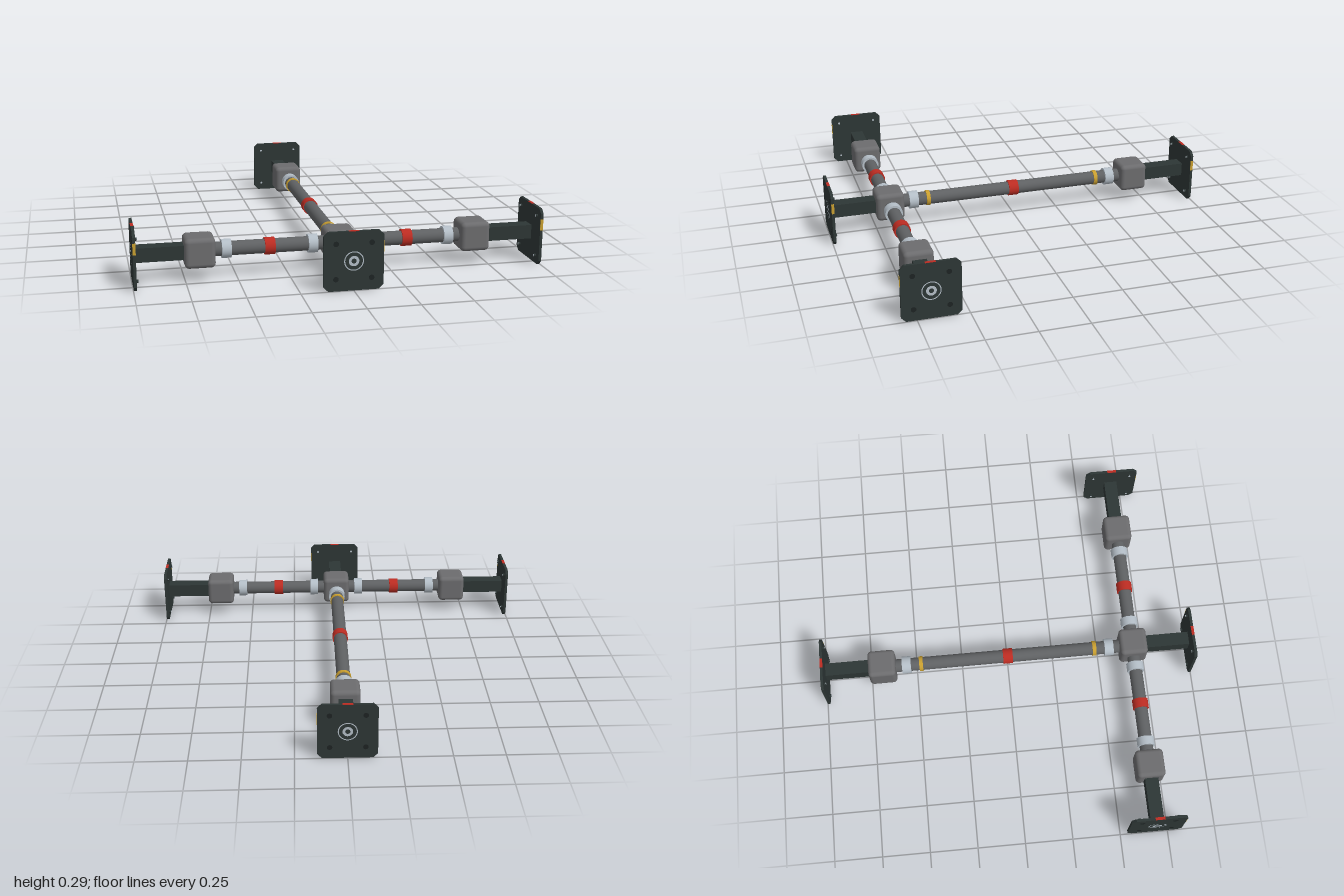
import * as THREE from 'three';
import { RoundedBoxGeometry } from 'three/addons/geometries/RoundedBoxGeometry.js';

const AXIS = 0.143; // height of the pipe centre line
const HUB_Z = 0.68; // where the cross arms meet the long pipe

const mat = (name, color) => {
  const m = new THREE.MeshStandardMaterial({ color });
  m.name = name;
  return m;
};

export function createModel() {
  const dark = mat('dark steel', 0x2d3635);
  const boltDark = mat('bolt black', 0x1d2323);
  const pipeGrey = mat('pipe grey', 0x5f6163);
  const jointGrey = mat('joint grey', 0x6c6c6e);
  const silver = mat('silver', 0xb4bec7);
  const red = mat('red', 0xbc2c22);
  const yellow = mat('yellow', 0xc99f30);

  const add = (parent, name, geometry, material, x = 0, y = 0, z = 0) => {
    const mesh = new THREE.Mesh(geometry, material);
    mesh.name = name;
    mesh.position.set(x, y, z);
    parent.add(mesh);
    return mesh;
  };
  // Cylinder lying along z, centred on the given z
  const rod = (parent, name, radius, length, material, x, y, z, sides = 32) =>
    add(parent, name, new THREE.CylinderGeometry(radius, radius, length, sides).rotateX(Math.PI / 2), material, x, y, z);

  // Square plate with cut corners
  const h = 0.143, c = 0.022;
  const plateShape = new THREE.Shape([
    [-h + c, -h], [h - c, -h], [h, -h + c], [h, h - c],
    [h - c, h], [-h + c, h], [-h, h - c], [-h, -h + c],
  ].map(([x, y]) => new THREE.Vector2(x, y)));
  const plateGeo = new THREE.ExtrudeGeometry(plateShape, { depth: 0.014, bevelEnabled: false });

  // Flanged end: joint block, square tube and end plate, pointing along local +z
  const flangedEnd = (name, yaw, markSide, x, z) => {
    const g = new THREE.Group();
    g.name = name;
    g.position.set(x, AXIS, z);
    g.rotation.y = yaw;
    add(g, 'jointBlock', new RoundedBoxGeometry(0.147, 0.147, 0.147, 4, 0.022), jointGrey);
    add(g, 'squareTube', new THREE.BoxGeometry(0.07, 0.07, 0.25), dark, 0, 0, 0.185);
    add(g, 'endPlate', plateGeo, dark, 0, 0, 0.304);
    // Coupling face: thin pilot ring and centre bush
    add(g, 'pilotRing', new THREE.RingGeometry(0.042, 0.047, 40), silver, 0, 0, 0.3195);
    add(g, 'centreBush', new THREE.RingGeometry(0.012, 0.025, 32), silver, 0, 0, 0.3195);
    for (const sx of [-1, 1]) for (const sy of [-1, 1]) {
      rod(g, 'boltHead', 0.013, 0.003, boltDark, sx * 0.085, sy * 0.085, 0.3175, 16);
      rod(g, 'nut', 0.008, 0.01, dark, sx * 0.102, sy * 0.102, 0.3, 12);
      rod(g, 'nutTip', 0.006, 0.002, silver, sx * 0.102, sy * 0.102, 0.2945, 12);
    }
    // Alignment marks on the plate edges
    add(g, 'topMark', new THREE.BoxGeometry(0.05, 0.002, 0.0145), red, 0, h, 0.311);
    add(g, 'sideMark', new THREE.BoxGeometry(0.002, 0.055, 0.0145), yellow, markSide * h, 0.065, 0.311);
    return g;
  };

  // Pipe along local z with bands given as [name, z, radius, width, material]
  const bandedPipe = (name, length, bands) => {
    const g = new THREE.Group();
    g.name = name;
    rod(g, 'pipe', 0.035, length, pipeGrey, 0, 0, 0);
    for (const [n, z, r, w, m] of bands) rod(g, n, r, w, m, 0, 0, z);
    return g;
  };

  const model = new THREE.Group();
  model.name = 'pipeJunction';

  // Ends: the front one carries the central hub
  model.add(
    flangedEnd('frontEnd', 0, 1, 0, HUB_Z),
    flangedEnd('backEnd', Math.PI, -1, 0, -HUB_Z),
    flangedEnd('leftEnd', Math.PI / 2, -1, HUB_Z, HUB_Z),
    flangedEnd('rightEnd', -Math.PI / 2, 1, -HUB_Z, HUB_Z),
  );

  // Long pipe from hub to back
  const longPipe = bandedPipe('longPipe', 1.26, [
    ['redBand', 0, 0.041, 0.052, red],
    ...[-1, 1].flatMap((s) => [
      ['yellowBand', s * 0.47, 0.04, 0.02, yellow],
      ['collar', s * 0.549, 0.046, 0.048, silver],
    ]),
  ]);
  longPipe.position.y = AXIS;
  model.add(longPipe);

  // Cross arms, left and right of the hub
  for (const s of [-1, 1]) {
    const arm = bandedPipe(s > 0 ? 'leftArm' : 'rightArm', 0.58, [
      ['redBand', 0, 0.042, 0.05, red],
      ['collar', -0.21, 0.046, 0.046, silver],
      ['collar', 0.21, 0.046, 0.046, silver],
    ]);
    arm.rotation.y = Math.PI / 2;
    arm.position.set(s * 0.34, AXIS, HUB_Z);
    model.add(arm);
  }
  return model;
}
